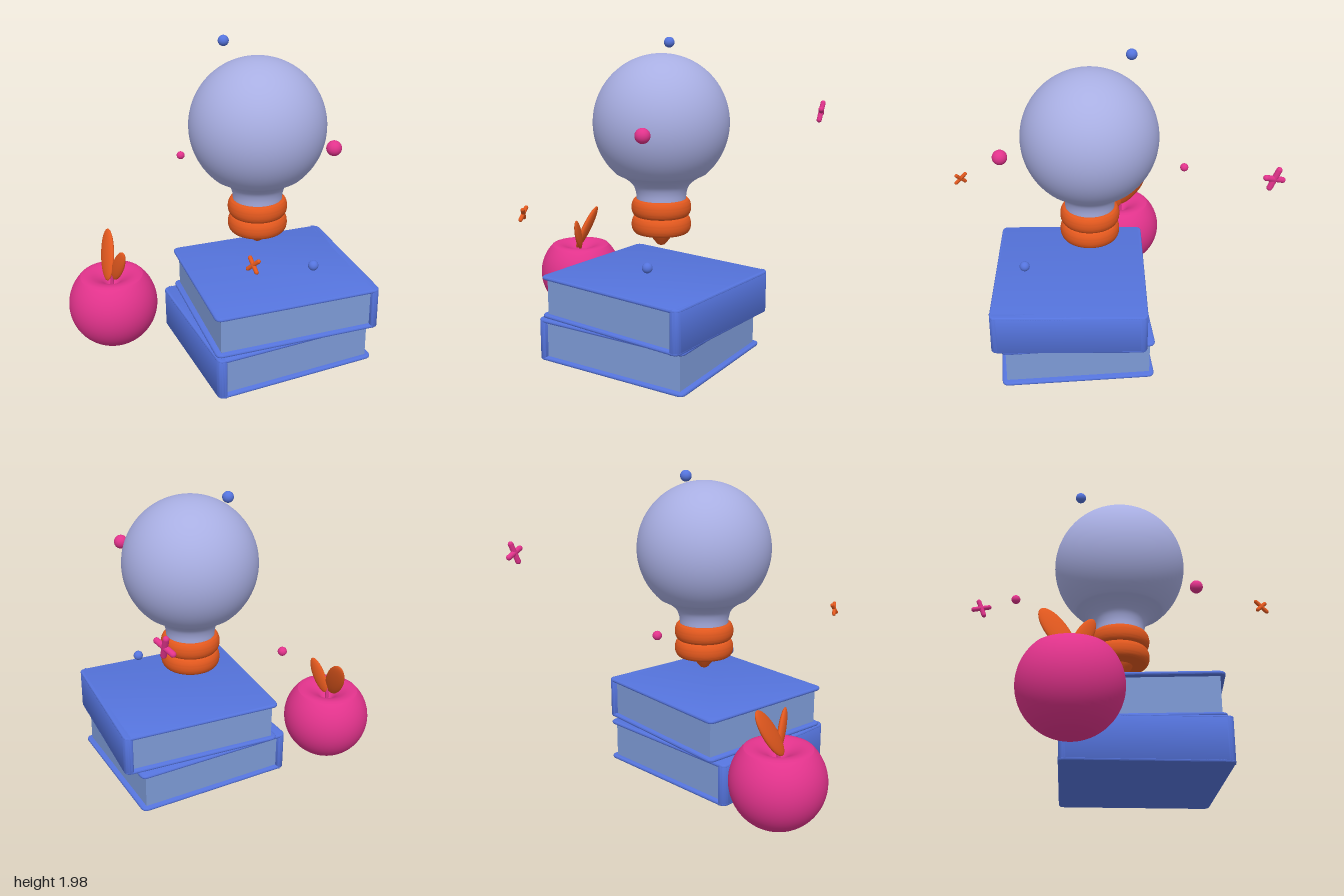
import * as THREE from 'three';
import { toCreasedNormals } from 'three/addons/utils/BufferGeometryUtils.js';

const mat = (color) => new THREE.MeshStandardMaterial({ color });
const V2 = (x, y) => new THREE.Vector2(x, y);
const V3 = (x, y, z) => new THREE.Vector3(x, y, z);

export function createModel() {
  const blue = mat(0x5574dd), paper = mat(0x7d9ad6), pink = mat(0xe2338c);
  const orange = mat(0xe2581e), glass = mat(0xa8aee2);
  const model = new THREE.Group();

  const add = (parent, name, geometry, material, x = 0, y = 0, z = 0) => {
    const mesh = new THREE.Mesh(geometry, material);
    mesh.name = name;
    mesh.position.set(x, y, z);
    parent.add(mesh);
    return mesh;
  };
  const smooth = (points, n) => new THREE.SplineCurve(points.map((p) => V2(...p))).getPoints(n);

  // Horizontal slab from z0 to z1, rising h, with separate back and front corner radii
  const slab = (w, z0, z1, h, rBack, rFront) => {
    const a = w / 2, s = new THREE.Shape();
    s.moveTo(-a + rBack, z0).lineTo(a - rBack, z0);
    s.quadraticCurveTo(a, z0, a, z0 + rBack).lineTo(a, z1 - rFront);
    s.quadraticCurveTo(a, z1, a - rFront, z1).lineTo(-a + rFront, z1);
    s.quadraticCurveTo(-a, z1, -a, z1 - rFront).lineTo(-a, z0 + rBack);
    s.quadraticCurveTo(-a, z0, -a + rBack, z0);
    const b = 0.009;
    const g = new THREE.ExtrudeGeometry(s, {
      depth: h - 2 * b, bevelThickness: b, bevelSize: b, bevelOffset: -b, bevelSegments: 4, curveSegments: 8,
    });
    g.rotateX(Math.PI / 2).translate(0, h - b, 0);
    return toCreasedNormals(g, 0.6);
  };

  // Books: two covers and a spine around a block of pages; the spine is at local -z
  const W = 0.97, D = 1.06, H = 0.27, T = 0.022;
  const makeBook = (name, x, y, z, turn) => {
    const book = new THREE.Group();
    book.name = name;
    const cover = slab(W, -D / 2, D / 2, T, 0.045, 0.045);
    add(book, 'bottomCover', cover, blue);
    add(book, 'topCover', cover, blue, 0, H - T, 0);
    add(book, 'spine', slab(W, -D / 2, -D / 2 + 0.055, H, 0.045, 0.012), blue);
    add(book, 'pages', new THREE.BoxGeometry(W - 0.06, H - 2 * T + 0.004, D - 0.075), paper, 0, H / 2, 0.0025);
    book.position.set(x, y, z);
    book.rotation.y = THREE.MathUtils.degToRad(turn);
    model.add(book);
  };
  makeBook('lowerBook', 0.155, 0.008, 0.045, 180 - 22.5);
  makeBook('upperBook', 0.185, 0.276, 0.012, -27.5);

  // Light bulb: glass with flared neck
  const bulb = new THREE.Group();
  bulb.name = 'lightBulb';
  bulb.position.x = 0.045;
  model.add(bulb);
  const R = 0.424, cy = 1.477, start = Math.asin(0.285 / R);
  const neck = smooth([[0.155, 0.98], [0.16, 1.04], [0.18, 1.09], [0.225, 1.13], [0.285, cy - R * Math.cos(start)]], 20);
  const dome = [];
  for (let i = 1; i <= 48; i++) {
    const a = start + (Math.PI - start) * i / 48;
    dome.push(V2(Math.max(0, R * Math.sin(a)), cy - R * Math.cos(a)));
  }
  add(bulb, 'glass', new THREE.LatheGeometry([...neck, ...dome], 64), glass);

  // Screw base with two rounded threads, and the contact tip
  const thread = (y) => smooth([[0.15, y], [0.172, y + 0.006], [0.187, y + 0.035],
    [0.187, y + 0.075], [0.172, y + 0.106], [0.15, y + 0.112]], 24);
  const base = [V2(0, 0.778), ...thread(0.778), ...thread(0.888), V2(0, 1.0)];
  add(bulb, 'screwBase', toCreasedNormals(new THREE.LatheGeometry(base, 48), 0.8), orange);
  const tip = smooth([[0, 0.693], [0.022, 0.698], [0.042, 0.72], [0.072, 0.762], [0.085, 0.79]], 16);
  add(bulb, 'contactTip', new THREE.LatheGeometry(tip, 32), orange);

  // Apple: round body with a dimple at the top
  const apple = new THREE.Group();
  apple.name = 'apple';
  apple.position.set(-0.58, 0, 0.71);
  model.add(apple);
  const body = [];
  for (let i = 0; i <= 30; i++) {
    const a = (i / 30) * Math.PI * 0.75;
    body.push(V2(0.285 * Math.sin(a), 0.29 - 0.285 * Math.cos(a)));
  }
  const dimple = smooth([[0.202, 0.491], [0.17, 0.498], [0.125, 0.49], [0.07, 0.46], [0.025, 0.415], [0, 0.405]], 24);
  add(apple, 'body', new THREE.LatheGeometry([...body, ...dimple.slice(1)], 64), pink);
  const stemPath = new THREE.CatmullRomCurve3([V3(0, 0.4, 0), V3(0.002, 0.46, 0), V3(0.012, 0.525, 0)]);
  add(apple, 'stem', new THREE.TubeGeometry(stemPath, 10, 0.011, 10), pink);
  add(apple, 'stemEnd', new THREE.SphereGeometry(0.011, 12, 8), pink, 0.012, 0.525, 0);

  // Leaves: flattened ellipsoids stretched between base and tip, facing front
  const leaf = (name, from, to, width, thick) => {
    const up = to.clone().sub(from), len = up.length();
    up.normalize();
    const side = up.clone().cross(V3(0, 0, 1)).normalize();
    const face = side.clone().cross(up);
    const mesh = add(apple, name, new THREE.SphereGeometry(0.5, 32, 20), orange);
    mesh.scale.set(width, len, thick);
    mesh.quaternion.setFromRotationMatrix(new THREE.Matrix4().makeBasis(side, up, face));
    mesh.position.copy(from).lerp(to, 0.5);
  };
  leaf('largeLeaf', V3(-0.005, 0.46, 0.03), V3(-0.135, 0.745, -0.095), 0.135, 0.05);
  leaf('smallLeaf', V3(0.01, 0.465, -0.005), V3(0.13, 0.692, -0.005), 0.095, 0.042);

  // Floating dots
  [[-0.24, 1.955, 0.034, blue], [0.51, 0.678, 0.032, blue],
    [0.633, 1.478, 0.045, pink], [-0.66, 1.096, 0.027, pink],
  ].forEach(([x, y, r, m]) => add(model, 'dot', new THREE.SphereGeometry(r, 32, 20), m, x, y, 0));

  // Floating crosses: two crossed rounded bars
  const makeCross = (name, material, pos, rot, length, r) => {
    const cross = new THREE.Group();
    cross.name = name;
    const bar = new THREE.CapsuleGeometry(r, length - 2 * r, 8, 16);
    for (const a of [0, Math.PI / 2]) add(cross, 'bar', bar, material).rotation.z = a;
    cross.position.set(...pos);
    cross.rotation.set(...rot);
    model.add(cross);
  };
  makeCross('pinkCross', pink, [-0.598, 1.49, -0.973], [-0.16, -0.1, 0.32], 0.152, 0.017);
  makeCross('orangeCross', orange, [0.652, 1.01, 0.7], [-0.25, 0, 0.77], 0.112, 0.012);

  return model;
}
